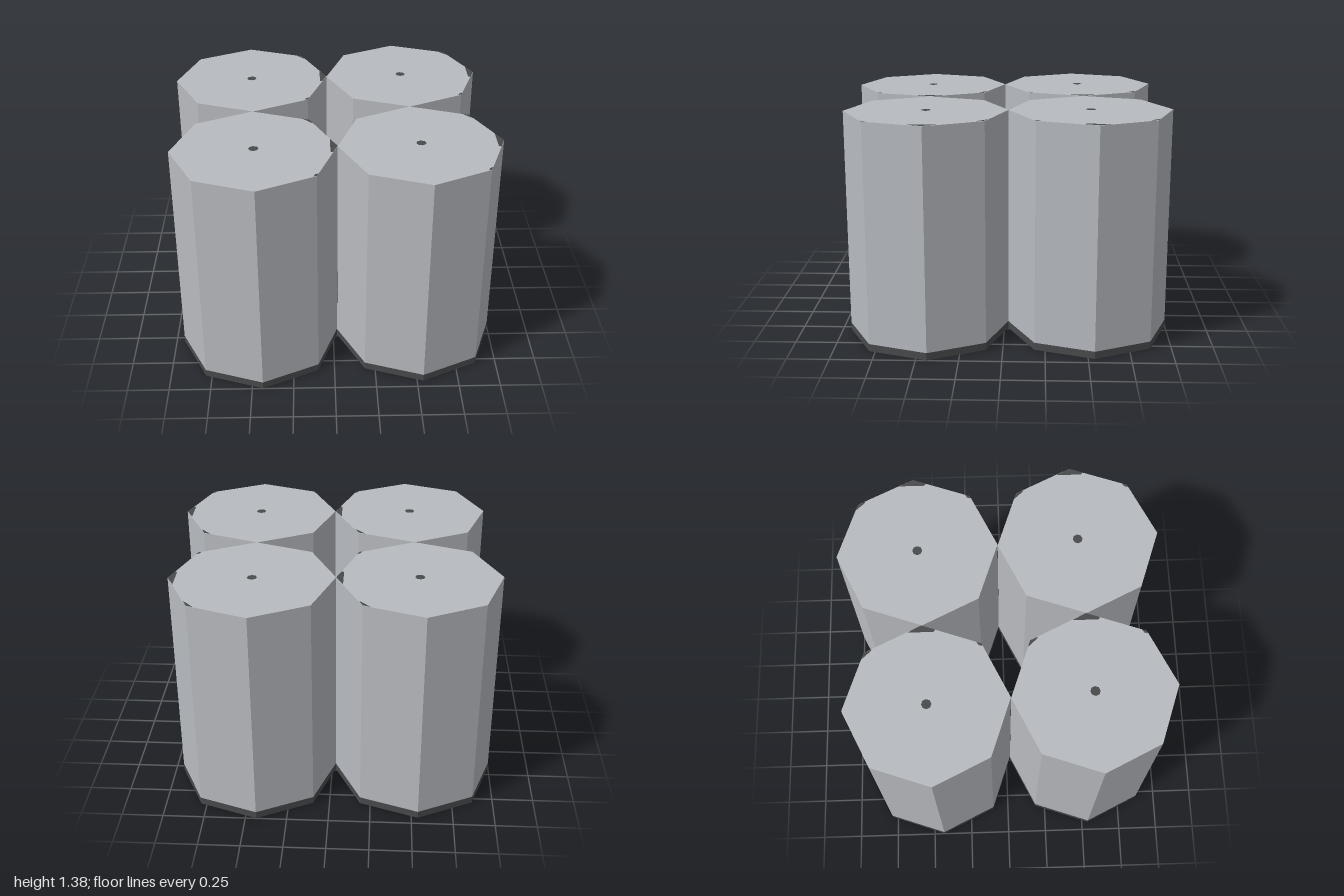
import * as THREE from 'three';

const HEIGHT = 1.375, BAND = 0.045, RADIUS = 0.487, SIDES = 8;
const TURN = THREE.MathUtils.degToRad(3.2);

// Small dark patches on the lid, as [x, z] outlines relative to the cup centre
const PATCHES = {
  rightPatch: [[0.443, -0.11], [0.486, -0.027], [0.457, 0.055], [0.443, 0.045]],
  backPatch: [[0.282, -0.378], [0.324, -0.363], [0.345, -0.315], [0.33, -0.325]],
  frontPatch: [[0.345, 0.331], [0.363, 0.324], [0.373, 0.295], [0.352, 0.308]],
};

export function createModel() {
  const shell = new THREE.MeshStandardMaterial({ color: 0xb8bbc0, flatShading: true, side: THREE.DoubleSide });
  shell.name = 'light grey';
  const dark = new THREE.MeshStandardMaterial({ color: 0x484a4c, flatShading: true, side: THREE.DoubleSide });
  dark.name = 'dark grey';

  const add = (group, name, geometry, material, y) => {
    const mesh = new THREE.Mesh(geometry, material);
    mesh.name = name;
    mesh.position.y = y;
    group.add(mesh);
  };
  // Open eight-sided ring
  const tube = (height) => new THREE.CylinderGeometry(RADIUS, RADIUS, height, SIDES, 1, true, TURN);
  // Flat disc facing up
  const disc = (radius) => new THREE.CircleGeometry(radius, SIDES, TURN).rotateX(-Math.PI / 2);
  // Flat outline facing up
  const plate = (points) => new THREE.ShapeGeometry(
    new THREE.Shape(points.map(([x, z]) => new THREE.Vector2(x, -z)))).rotateX(-Math.PI / 2);

  const makeCup = () => {
    const cup = new THREE.Group();
    add(cup, 'wall', tube(HEIGHT - BAND), shell, (HEIGHT + BAND) / 2);
    add(cup, 'bottomBand', tube(BAND), dark, BAND / 2);
    add(cup, 'lid', disc(RADIUS), shell, HEIGHT);
    add(cup, 'centreDot', disc(0.03), dark, HEIGHT + 0.002);
    for (const [name, points] of Object.entries(PATCHES)) add(cup, name, plate(points), dark, HEIGHT + 0.002);
    return cup;
  };

  // Four upturned cups in a slightly turned square, all facing the same way
  const model = new THREE.Group();
  model.name = 'cupCluster';
  const spots = {
    frontRightCup: [-0.462, 0.511], frontLeftCup: [0.511, 0.462],
    backLeftCup: [0.462, -0.511], backRightCup: [-0.511, -0.462],
  };
  for (const [name, [x, z]] of Object.entries(spots)) {
    const cup = makeCup();
    cup.name = name;
    cup.position.set(x, 0, z);
    model.add(cup);
  }
  return model;
}
